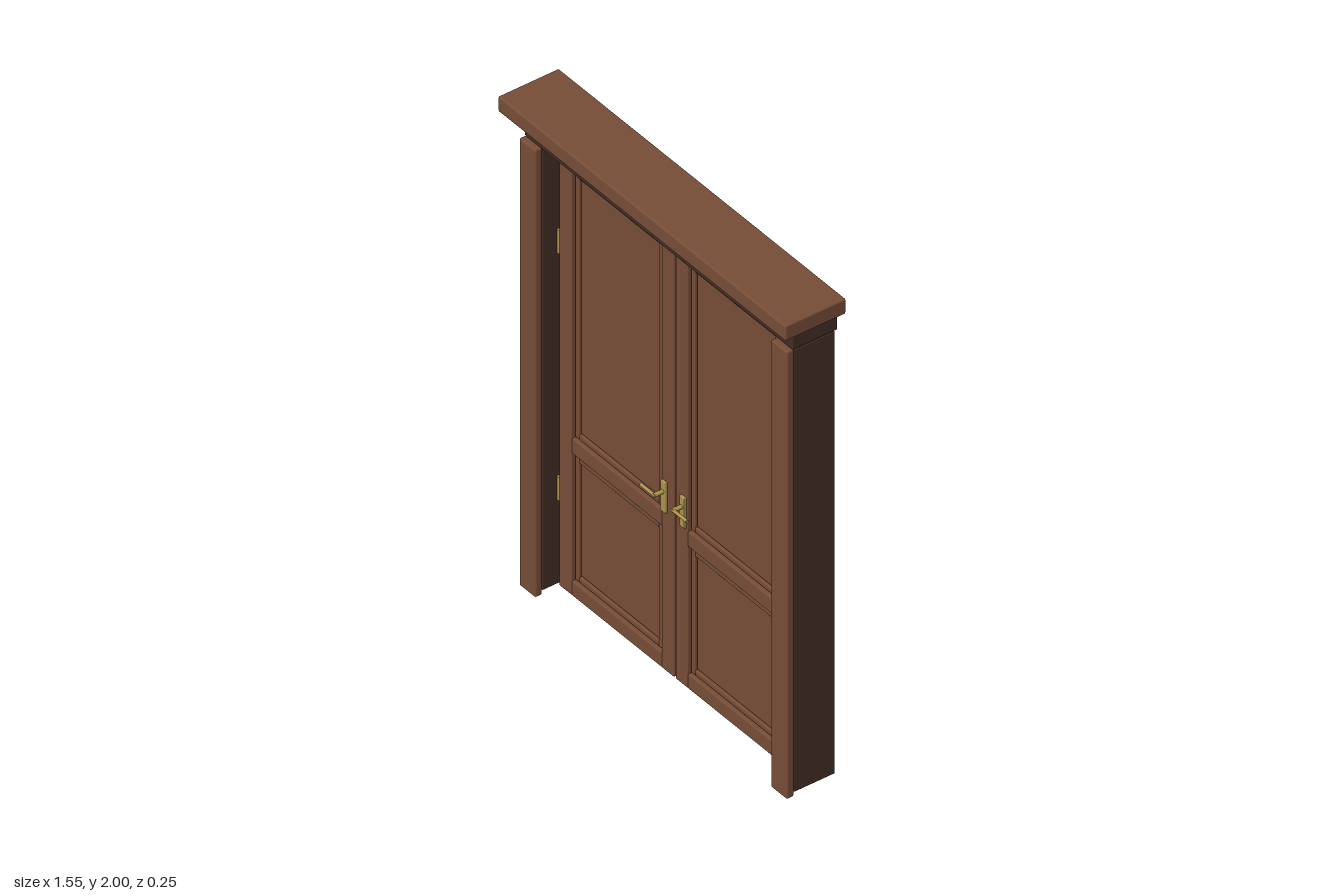
import * as THREE from 'three';
import { RoundedBoxGeometry } from 'three/addons/geometries/RoundedBoxGeometry.js';

const wood = new THREE.MeshStandardMaterial({ name: 'warm wood', color: 0x784d38 });
const darkWood = new THREE.MeshStandardMaterial({ name: 'dark wood', color: 0x432d24 });
const brass = new THREE.MeshStandardMaterial({ name: 'brass', color: 0xae934c });

// Softly bevelled block given by its limits on each axis
function block(parent, name, material, [x0, x1], [y0, y1], [z0, z1], bevel = 0.004) {
  const geometry = new RoundedBoxGeometry(x1 - x0, y1 - y0, z1 - z0, 2, bevel);
  const mesh = new THREE.Mesh(geometry, material);
  mesh.name = name;
  mesh.position.set((x0 + x1) / 2, (y0 + y1) / 2, (z0 + z1) / 2);
  parent.add(mesh);
  return mesh;
}

function rod(parent, name, radius, length, x, y, z, axis) {
  const mesh = new THREE.Mesh(new THREE.CylinderGeometry(radius, radius, length, 16), brass);
  mesh.name = name;
  mesh.position.set(x, y, z);
  if (axis === 'x') mesh.rotation.z = Math.PI / 2;
  if (axis === 'z') mesh.rotation.x = Math.PI / 2;
  parent.add(mesh);
}

// Sunk panel with a moulding around a raised field
function panel(parent, name, s, y0, y1) {
  const group = new THREE.Group();
  group.name = name;
  const side = (a, b) => (s > 0 ? [a, b] : [-b, -a]);
  const z = [-0.04, -0.017];
  const x0 = 0.076, x1 = 0.55, w = 0.022;
  block(group, 'innerMoulding', wood, side(x0, x0 + w), [y0, y1], z);
  block(group, 'outerMoulding', wood, side(x1 - w, x1), [y0, y1], z);
  block(group, 'lowerMoulding', wood, side(x0 + w, x1 - w), [y0, y0 + w], z);
  block(group, 'upperMoulding', wood, side(x0 + w, x1 - w), [y1 - w, y1], z);
  block(group, 'panelField', wood, side(x0 + w + 0.003, x1 - w - 0.003),
    [y0 + w + 0.003, y1 - w - 0.003], [-0.04, -0.023]);
  parent.add(group);
}

// One door leaf; s is +1 for the left leaf and -1 for the right
function doorLeaf(s) {
  const leaf = new THREE.Group();
  leaf.name = s > 0 ? 'leftDoor' : 'rightDoor';
  const side = (a, b) => (s > 0 ? [a, b] : [-b, -a]);
  block(leaf, 'doorCore', darkWood, side(0.004, 0.624), [0.02, 1.832], [-0.085, -0.032]);

  // Stiles and rails
  const z = [-0.036, -0.008];
  block(leaf, 'innerStile', wood, side(0.004, 0.071), [0.02, 1.832], z);
  block(leaf, 'outerStile', wood, side(0.557, 0.624), [0.02, 1.832], z);
  for (const [name, y0, y1] of [['bottomRail', 0.02, 0.08], ['lockRail', 0.603, 0.666], ['topRail', 1.77, 1.832]])
    block(leaf, name, wood, side(0.071, 0.557), [y0, y1], z);
  panel(leaf, 'lowerPanel', s, 0.086, 0.597);
  panel(leaf, 'upperPanel', s, 0.672, 1.764);

  // Handle: plate, spindle and lever
  const handle = new THREE.Group();
  handle.name = 'handle';
  block(handle, 'handlePlate', brass, side(0.038, 0.065), [0.675, 0.8], [-0.009, 0.002], 0.003);
  rod(handle, 'handleSpindle', 0.008, 0.04, s * 0.051, 0.76, 0.02, 'z');
  rod(handle, 'handleLever', 0.006, 0.08, s * 0.085, 0.76, 0.036, 'x');
  leaf.add(handle);

  // Hinges
  for (const y of [0.415, 1.43]) rod(leaf, 'hinge', 0.009, 0.095, s * 0.63, y, -0.014, 'y');
  return leaf;
}

export function createModel() {
  const model = new THREE.Group();
  model.name = 'doubleDoor';

  // Cornice and header across the top
  block(model, 'cornice', wood, [-0.777, 0.777], [1.937, 2], [-0.122, 0.127], 0.007);
  block(model, 'header', darkWood, [-0.725, 0.725], [1.838, 1.931], [-0.127, 0.058], 0.005);

  for (const s of [1, -1]) {
    const x = s > 0 ? [0.636, 0.724] : [-0.724, -0.636];
    block(model, s > 0 ? 'leftJamb' : 'rightJamb', darkWood, x, [0.018, 1.836], [-0.117, 0.052]);
    block(model, s > 0 ? 'leftCasing' : 'rightCasing', wood, x, [0, 1.84], [0.05, 0.081], 0.008);
    model.add(doorLeaf(s));
  }
  return model;
}
